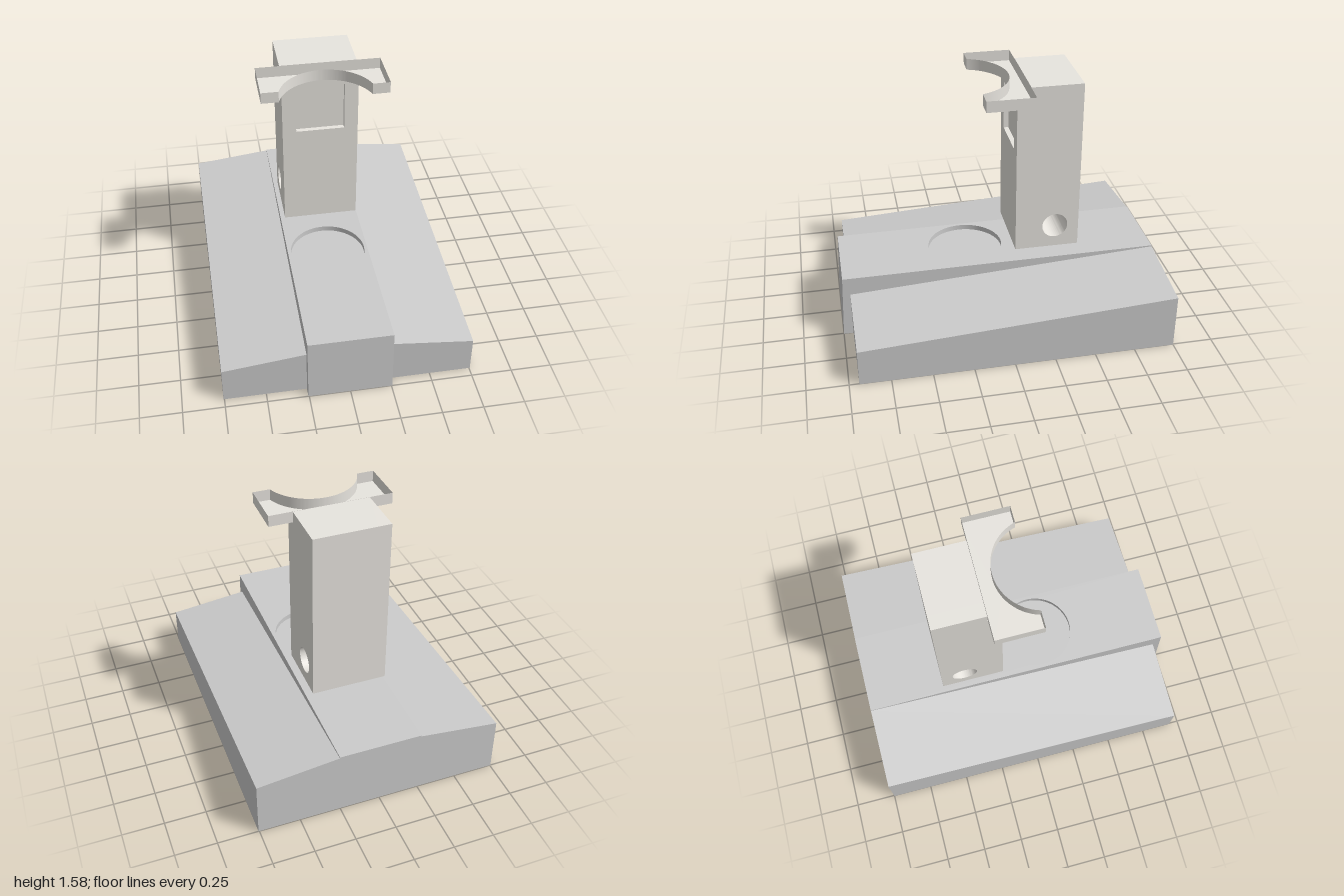
import * as THREE from 'three';
import { toCreasedNormals } from 'three/addons/utils/BufferGeometryUtils.js';

const baseMat = new THREE.MeshStandardMaterial({ color: 0xcccccc });
const towerMat = new THREE.MeshStandardMaterial({ color: 0xe8e5df });
const trayMat = new THREE.MeshStandardMaterial({ color: 0xe8e5df, side: THREE.DoubleSide });

const polygon = (pts) => new THREE.Shape(pts.map(([x, y]) => new THREE.Vector2(x, y)));

function circleHole(x, y, r) {
  const path = new THREE.Path();
  path.absarc(x, y, r, 0, Math.PI * 2, true);
  return path;
}

const extrude = (shape, depth) =>
  new THREE.ExtrudeGeometry(shape, { depth, bevelEnabled: false, curveSegments: 48 });

function addMesh(parent, name, geometry, material) {
  const mesh = new THREE.Mesh(toCreasedNormals(geometry, 0.5), material);
  mesh.name = name;
  parent.add(mesh);
  return mesh;
}

// Moves every vertex by a rule
function reshape(geometry, rule) {
  const pos = geometry.attributes.position;
  const v = new THREE.Vector3();
  for (let i = 0; i < pos.count; i++) {
    rule(v.fromBufferAttribute(pos, i));
    pos.setXYZ(i, v.x, v.y, v.z);
  }
  return geometry;
}

function createBase() {
  const base = new THREE.Group();
  base.name = 'base';

  // Central ridge: leaning front face, slightly rising top, shallow round recess
  const lean = (v) => {
    if (v.y > 0.4) v.y = 0.4135 - 0.0035 * v.z;
    if (v.z > 0.9) v.z = 1 - 0.045 * v.y;
  };
  const body = new THREE.BoxGeometry(0.51, 0.38, 2).translate(0, 0.19, 0);
  addMesh(base, 'ridgeBody', reshape(body, lean), baseMat);
  const outline = polygon([[-0.255, -1], [0.255, -1], [0.255, 1], [-0.255, 1]]);
  outline.holes.push(circleHole(0, -0.178, 0.235));
  const top = extrude(outline, 0.035).rotateX(-Math.PI / 2).translate(0, 0.38, 0);
  addMesh(base, 'ridgeTop', reshape(top, lean), baseMat);

  // Sloping side wings, lower at the front and at the outer edge
  for (const side of [1, -1]) {
    const wing = new THREE.BoxGeometry(0.5, 0.2, 1.94).translate(side * 0.505, 0.1, -0.03);
    reshape(wing, (v) => {
      if (v.y < 0.1) return;
      v.y = (v.z > 0 ? 0.293 : 0.41) - (Math.abs(v.x) > 0.5 ? 0.059 : 0);
    });
    addMesh(base, side > 0 ? 'leftWing' : 'rightWing', wing, baseMat);
  }
  return base;
}

// One slab of the tower, from a side profile (horizontal axis is -z)
function towerSlab(parent, name, x0, x1, pocket) {
  const notch = pocket ? [[0.105, 1.15], [0.135, 1.15], [0.135, 1.46], [0.105, 1.46]] : [];
  const profile = polygon([
    [0.505, 0.485], [0.505, 1.575], [0.187, 1.575], [0.187, 1.503], [0.105, 1.503],
    ...notch.reverse(), [0.105, 0.485],
  ]);
  profile.holes.push(circleHole(0.355, 0.632, 0.08));
  const geometry = extrude(profile, x1 - x0).rotateY(Math.PI / 2).translate(x0, 0, 0);
  addMesh(parent, name, geometry, towerMat);
}

// Thin open tray with a round bite in its front edge
function createTray() {
  const r = 0.287, cz = 0.187;
  const angle = Math.atan2(cz - 0.105, 0.275);
  const shape = polygon([[-0.38, -0.105], [-0.275, -0.105]]);
  shape.absarc(0, -cz, r, Math.PI - angle, angle, true);
  shape.lineTo(0.38, -0.105);
  shape.lineTo(0.38, 0.185);
  shape.lineTo(-0.38, 0.185);
  shape.closePath();
  const solid = extrude(shape, 0.07);

  // Keep the bottom cap and the walls, leave the top open
  const [caps, walls] = solid.groups;
  const src = solid.attributes.position.array;
  const tray = new THREE.BufferGeometry();
  tray.setAttribute('position', new THREE.Float32BufferAttribute([
    ...src.slice(0, caps.count / 2 * 3),
    ...src.slice(walls.start * 3, (walls.start + walls.count) * 3),
  ], 3));
  return tray.rotateX(-Math.PI / 2).translate(0, 1.505, 0);
}

export function createModel() {
  const model = new THREE.Group();
  model.name = 'stand';
  model.add(createBase());

  const tower = new THREE.Group();
  tower.name = 'tower';
  towerSlab(tower, 'towerRight', -0.235, -0.15, false);
  towerSlab(tower, 'towerMiddle', -0.15, 0.15, true);
  towerSlab(tower, 'towerLeft', 0.15, 0.235, false);
  addMesh(tower, 'cradleTray', createTray(), trayMat);
  model.add(tower);
  return model;
}
